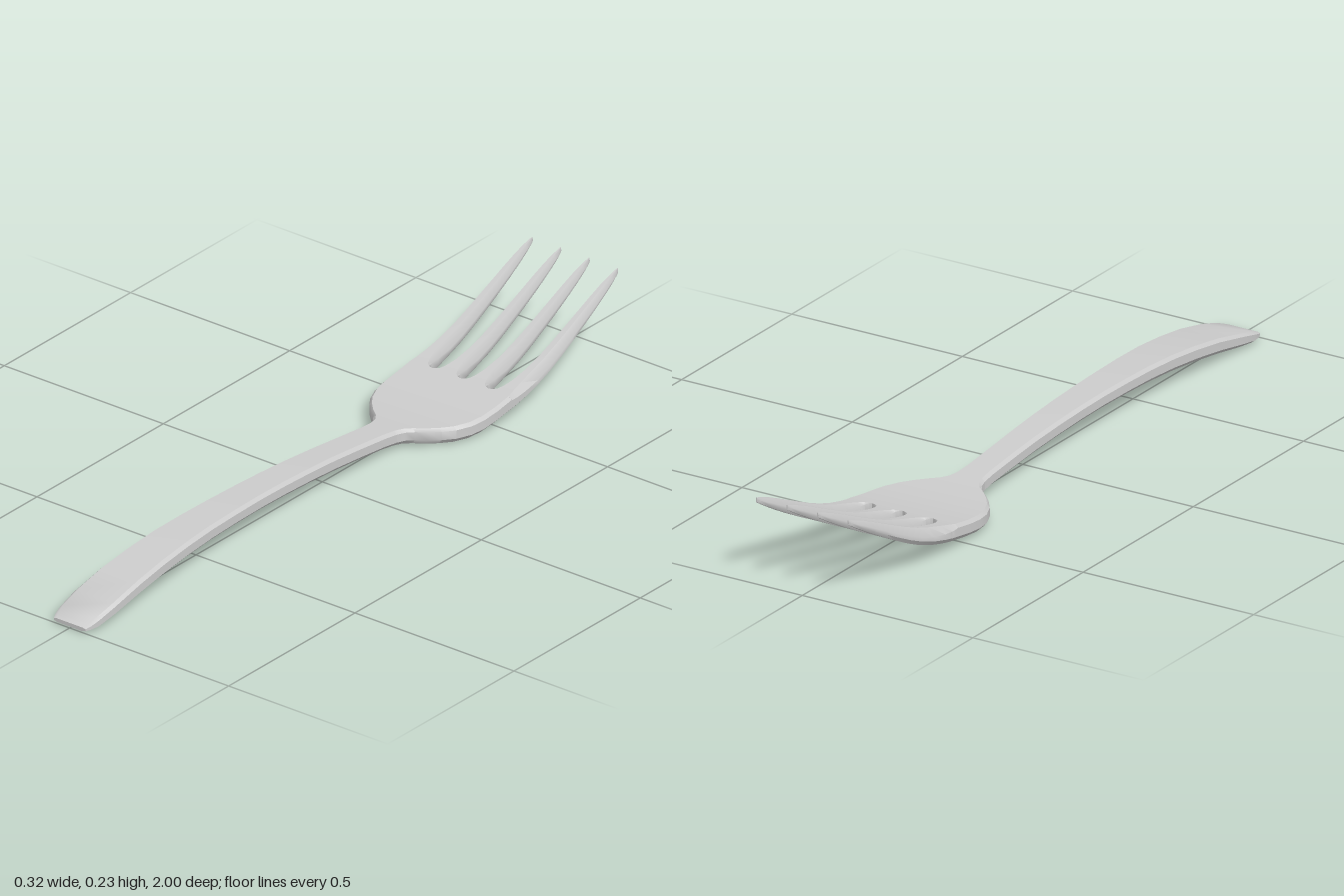
import * as THREE from 'three';
import { toCreasedNormals } from 'three/addons/utils/BufferGeometryUtils.js';

const steel = new THREE.MeshStandardMaterial({ color: 0xcccccc, metalness: 0, roughness: 0.6 });

// Side profile of the whole fork: z, underside y, upper side y
const profile = [
  [-1, 0.222, 0.235], [-0.95, 0.193, 0.218], [-0.9, 0.165, 0.197], [-0.8, 0.113, 0.153],
  [-0.7, 0.067, 0.112], [-0.6, 0.037, 0.083], [-0.5, 0.019, 0.063], [-0.4, 0.009, 0.054],
  [-0.3, 0.012, 0.055], [-0.2, 0.022, 0.064], [0, 0.042, 0.085], [0.2, 0.055, 0.098],
  [0.4, 0.059, 0.102], [0.6, 0.053, 0.097], [0.8, 0.031, 0.073], [0.9, 0.014, 0.051],
  [0.96, 0.004, 0.034], [1, 0.008, 0.018],
];
const heights = new THREE.CubicInterpolant(
  profile.map((p) => p[0]), profile.flatMap((p) => [p[1], p[2]]), 2, [0, 0]);

// Eight-sided section between xL and xR; each side has its own bevel
// [top inset, top drop, bottom inset, bottom rise], drops as shares of the height
function section(z, xL, xR, bevelL, bevelR) {
  const [yB, yT] = heights.evaluate(z);
  const h = yT - yB;
  const [ltx, lty, lbx, lby] = bevelL;
  const [rtx, rty, rbx, rby] = bevelR;
  return [
    [xL + lbx, yB, z], [xR - rbx, yB, z], [xR, yB + rby * h, z], [xR, yT - rty * h, z],
    [xR - rtx, yT, z], [xL + ltx, yT, z], [xL, yT - lty * h, z], [xL, yB + lby * h, z],
  ];
}

// Skin over sections ordered from front (+z) to back (-z), with end caps
function loft(rings, name) {
  const n = rings[0].length;
  const index = [];
  for (let k = 0; k < rings.length - 1; k++) {
    for (let i = 0; i < n; i++) {
      const a = k * n + i, b = k * n + (i + 1) % n;
      index.push(a, a + n, b, b, a + n, b + n);
    }
  }
  const last = (rings.length - 1) * n;
  for (let i = 1; i < n - 1; i++) {
    index.push(0, i, i + 1, last, last + i + 1, last + i);
  }
  const geometry = new THREE.BufferGeometry();
  geometry.setAttribute('position', new THREE.Float32BufferAttribute(rings.flat(2), 3));
  geometry.setIndex(index);
  const mesh = new THREE.Mesh(toCreasedNormals(geometry, 0.65), steel);
  mesh.name = name;
  return mesh;
}

// Half widths along the handle and shoulders: z, half width
const handleWidths = [
  [1, 0.05], [0.985, 0.056], [0.96, 0.061], [0.9, 0.065], [0.8, 0.064], [0.7, 0.061], [0.6, 0.058],
  [0.5, 0.054], [0.4, 0.051], [0.3, 0.048], [0.2, 0.046], [0.1, 0.044], [0, 0.042],
  [-0.1, 0.041], [-0.2, 0.041], [-0.24, 0.044],
];
const palmWidths = [
  [-0.24, 0.044], [-0.265, 0.051], [-0.285, 0.066], [-0.305, 0.09], [-0.33, 0.114], [-0.36, 0.136],
  [-0.4, 0.153], [-0.44, 0.16], [-0.49, 0.162], [-0.545, 0.162],
];
const rim = [0.008, 0.2, 0.012, 0.28];
const body = (rows, name) => loft(rows.map(([z, w]) => section(z, -w, w, rim, rim)), name);

// Tine half width on a side facing a gap (rounded root first), and on the outer rim
const pitch = 0.0895;
const tineRows = [
  // z, gap side, rim side, bevel amount
  [-0.545, pitch / 2, 0.028, 0], [-0.548, 0.037, 0.028, 0.1], [-0.555, 0.03, 0.028, 0.25],
  [-0.57, 0.0255, 0.028, 0.45], [-0.6, 0.022, 0.0275, 0.75], [-0.65, 0.0205, 0.0265, 1],
  [-0.7, 0.0192, 0.0245, 1], [-0.75, 0.018, 0.0225, 1], [-0.8, 0.0167, 0.0205, 1],
  [-0.85, 0.0155, 0.018, 1], [-0.9, 0.0138, 0.0155, 1], [-0.94, 0.0115, 0.0125, 1],
  [-0.97, 0.0085, 0.009, 1], [-0.99, 0.005, 0.005, 1], [-1, 0.002, 0.002, 1],
];

function tine(i) {
  const x = (i - 1.5) * pitch;
  const rings = tineRows.map(([z, gap, edge, t]) => {
    const side = (isRim) => {
      const w = isRim ? edge : gap;
      // the bevel grows from the palm's shape into a ridged tine
      const ridge = [0.62 * w, 0.5, 0.35 * w, 0.25];
      const start = isRim ? rim : [0, 0, 0, 0];
      return start.map((s, k) => THREE.MathUtils.lerp(s, ridge[k], t));
    };
    const l = i === 0, r = i === 3;
    return section(z, x - (l ? edge : gap), x + (r ? edge : gap), side(l), side(r));
  });
  return loft(rings, 'tine' + (i + 1));
}

export function createModel() {
  const fork = new THREE.Group();
  fork.name = 'fork';
  fork.add(body(handleWidths, 'handle'), body(palmWidths, 'palm'));
  const tines = new THREE.Group();
  tines.name = 'tines';
  for (let i = 0; i < 4; i++) tines.add(tine(i));
  fork.add(tines);
  return fork;
}
